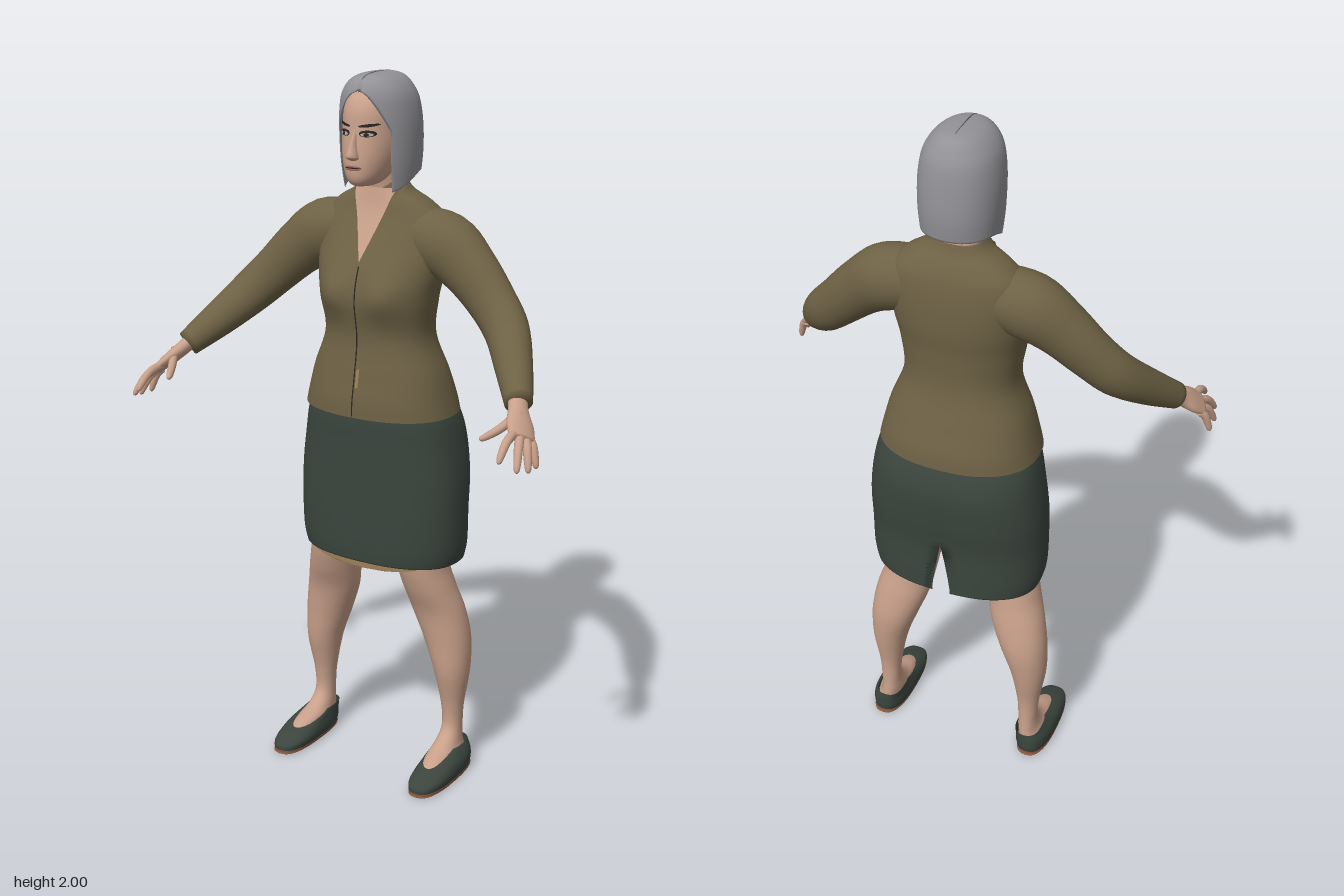
import * as THREE from 'three';
import { mergeVertices } from 'three/addons/utils/BufferGeometryUtils.js';

const mat = (name, color, side = THREE.DoubleSide) => {
  const m = new THREE.MeshStandardMaterial({ color, side });
  m.name = name;
  return m;
};
const clamp = THREE.MathUtils.clamp;

// Smooth surface from a rule fn(u, v) -> [x, y, z]
function grid(nu, nv, fn) {
  const pos = [], idx = [];
  for (let j = 0; j <= nv; j++) for (let i = 0; i <= nu; i++) pos.push(...fn(i / nu, j / nv, j));
  for (let j = 0; j < nv; j++) for (let i = 0; i < nu; i++) {
    const a = j * (nu + 1) + i, b = a + 1, c = a + nu + 1, d = c + 1;
    idx.push(a, b, d, a, d, c);
  }
  let g = new THREE.BufferGeometry();
  g.setAttribute('position', new THREE.Float32BufferAttribute(pos, 3));
  g.setIndex(idx);
  g = mergeVertices(g, 1e-5);
  g.computeVertexNormals();
  return g;
}

// Catmull-Rom through rows of numbers
function smoothRows(rows, steps = 7) {
  const out = [], n = rows.length;
  for (let i = 0; i < n - 1; i++) for (let k = 0; k < steps + (i === n - 2 ? 1 : 0); k++) {
    const t = k / steps, r = [rows[Math.max(i - 1, 0)], rows[i], rows[i + 1], rows[Math.min(i + 2, n - 1)]];
    out.push(rows[i].map((_, c) => {
      const [a, b, d, e] = r.map(q => q[c]);
      return b + 0.5 * t * (d - a + t * (2 * a - 5 * b + 4 * d - e + t * (3 * (b - d) + e - a)));
    }));
  }
  return out;
}

// Upright body from rows [y, x0, x1, zBack, zFront] with rounded cross-sections
const sym = (y, w, z0, z1) => [y, -w, w, z0, z1];
function body(rows, n = 2.2, bump = () => 0) {
  const dense = smoothRows(rows).map(([y, x0, x1, z0, z1]) =>
    [y, (x0 + x1) / 2, Math.max((x1 - x0) / 2, 1e-4), (z0 + z1) / 2, Math.max((z1 - z0) / 2, 1e-4)]);
  const pw = v => Math.sign(v) * Math.pow(Math.abs(v), 2 / n);
  const point = (a, [y, cx, rx, cz, rz], k = 1) => {
    const c = Math.cos(a), x = cx + k * rx * pw(Math.sin(a));
    return [x, y, cz + k * rz * pw(c) + bump(x, y) * Math.max(0, c)];
  };
  const front = (x, y) => {
    let i = 0;
    while (i < dense.length - 2 && dense[i + 1][0] < y) i++;
    const p = dense[i], q = dense[i + 1], t = clamp((y - p[0]) / (q[0] - p[0]), 0, 1);
    const [, cx, rx, cz, rz] = p.map((v, k) => v + (q[k] - v) * t);
    const c = Math.pow(1 - Math.pow(Math.min(1, Math.abs(x - cx) / rx), n), 1 / n);
    return cz + rz * c + bump(x, y) * Math.pow(c, n / 2);
  };
  const solid = (nu = 48) => grid(nu, dense.length - 1, (u, v, j) => point(u * Math.PI * 2, dense[j]));
  // Two-walled shell, open over an angle gap(y) around direction dir
  const shell = (gap, dir, thick, tweak = p => p, nu = 64) => {
    const m = dense.length;
    return grid(nu, 2 * m - 1, (u, v, j) => {
      const inner = j < m, row = dense[inner ? m - 1 - j : j - m], g = gap(row[0]);
      const t = inner ? thick * Math.min(1, 12 * u * (1 - u)) : 0;
      return tweak(point(dir + g + u * (2 * Math.PI - 2 * g), row, 1 - t));
    });
  };
  return { front, solid, shell };
}

// Thin patch lying on the front of a body
const patch = (b, y0, y1, xl, xr, lift, nx = 8, ny = 16) => grid(nx, ny, (u, v) => {
  const y = y0 + (y1 - y0) * v, x = xl(y) + (xr(y) - xl(y)) * u;
  return [x, y, b.front(x, y) + lift];
});
const spot = (b, cx, cy, rx, ry, lift, slope = 0) => grid(10, 8, (u, v) => {
  const q = v * 2 - 1, h = rx * Math.sqrt(Math.max(0, 1 - q * q));
  const x = cx + h * (u * 2 - 1), y = cy + ry * q + slope * (x - cx);
  return [x, y, b.front(x, y) + lift];
});

// Limb along rows [x, y, z, ra, rb]; ra lies towards the side vector
function limb(rows, s, side = [0, 0, 1], nu = 18) {
  const d = smoothRows(rows.map(([x, ...r]) => [x * s, ...r]), 5), m = d.length;
  const P = i => new THREE.Vector3(...d[clamp(i, 0, m - 1)]);
  const S = new THREE.Vector3(side[0] * s, side[1], side[2]);
  return grid(nu, m + 1, (u, v, j) => {
    const i = clamp(j - 1, 0, m - 1), k = j === 0 || j === m + 1 ? 0 : 1, a = u * Math.PI * 2;
    const T = P(i + 1).sub(P(i - 1)).normalize();
    const A = S.clone().addScaledVector(T, -S.dot(T)).normalize(), B = T.clone().cross(A);
    return P(i).addScaledVector(A, k * d[i][3] * Math.cos(a)).addScaledVector(B, k * d[i][4] * Math.sin(a)).toArray();
  });
}

export function createModel() {
  const model = new THREE.Group();
  const skin = mat('skin', 0xc8a08a), olive = mat('olive knit', 0x6e6245), green = mat('dark green', 0x3b453e);
  const grey = mat('grey hair', 0x929297), shade = mat('hair parting', 0x5c5c61), dark = mat('dark brown', 0x2b2522);
  const tan = mat('tan lining', 0x9c8058), brown = mat('sole brown', 0x85533a), lip = mat('lips', 0x9a6a5c), white = mat('eye white', 0xb8b0a8);
  const add = (name, geometry, material) => {
    const m = new THREE.Mesh(geometry, material);
    m.name = name;
    model.add(m);
  };

  // Skirt with a slit at the back
  const skirt = body([sym(0.652, 0.24, -0.262, 0.028), sym(0.7, 0.25, -0.262, 0.032), sym(0.8, 0.252, -0.263, 0.035),
    sym(0.9, 0.25, -0.275, 0.036), sym(1.0, 0.237, -0.28, 0.038), sym(1.07, 0.222, -0.266, 0.04), sym(1.12, 0.2, -0.24, 0.035)], 2.4);
  add('skirt', skirt.shell(y => 0.07 * clamp((0.82 - y) / 0.16, 0, 1), Math.PI, 0.03), green);
  const hem = y => 0.2 * Math.sqrt(clamp((y - 0.632) / 0.02, 0, 1));
  add('skirtLining', patch(skirt, 0.632, 0.67, y => -hem(y), hem, -0.006, 20, 12), tan);

  // Cardigan body with bust
  const bust = (x, y) => 0.022 * Math.exp(-(((Math.abs(x) - 0.085) / 0.055) ** 2) - ((y - 1.42) / 0.055) ** 2);
  const torso = body([sym(1.085, 0.223, -0.264, 0.058), sym(1.13, 0.212, -0.258, 0.056), sym(1.2, 0.193, -0.236, 0.044),
    sym(1.3, 0.157, -0.208, 0.03), sym(1.4, 0.167, -0.207, 0.042), sym(1.48, 0.182, -0.214, 0.028), sym(1.56, 0.19, -0.212, -0.008),
    sym(1.62, 0.178, -0.202, -0.035), sym(1.66, 0.138, -0.186, -0.047), sym(1.69, 0.085, -0.167, -0.052), sym(1.713, 0.064, -0.158, -0.056)], 2.3, bust);
  add('cardigan', torso.solid(64), olive);
  const vee = y => 0.064 * clamp((y - 1.5) / 0.19, 0, 1);
  add('neckline', patch(torso, 1.5, 1.7, y => -vee(y), vee, 0.004), skin);
  add('frontSeam', patch(torso, 1.09, 1.5, () => -0.002, () => 0.002, 0.003, 2, 30), dark);
  add('zipPull', patch(torso, 1.17, 1.22, () => 0.006, () => 0.014, 0.004, 2, 4), tan);
  for (const s of [1, -1]) {
    const a = y => vee(y) - 0.003, b = y => Math.min(vee(y) + 0.018, 0.075);
    add('collar', patch(torso, 1.5, 1.705, s > 0 ? a : y => -b(y), s > 0 ? b : y => -a(y), 0.008, 4), olive);
  }

  // Neck and head
  const neck = body([sym(1.62, 0.07, -0.17, -0.065), sym(1.68, 0.058, -0.158, -0.055), sym(1.73, 0.054, -0.15, -0.045), sym(1.79, 0.055, -0.15, -0.03)]);
  add('neck', neck.solid(32), skin);
  const head = body([sym(1.712, 0.004, -0.02, 0.01), sym(1.716, 0.03, -0.06, 0.036), sym(1.735, 0.049, -0.1, 0.05), sym(1.77, 0.065, -0.14, 0.053),
    sym(1.81, 0.075, -0.165, 0.05), sym(1.86, 0.079, -0.175, 0.043), sym(1.91, 0.077, -0.17, 0.036),
    sym(1.945, 0.062, -0.15, 0.015), sym(1.965, 0.035, -0.12, -0.03), sym(1.972, 0.002, -0.08, -0.075)], 2.1);
  add('head', head.solid(40), skin);
  const nose = body([sym(1.782, 0.004, 0.04, 0.052), sym(1.788, 0.016, 0.03, 0.066), sym(1.797, 0.016, 0.03, 0.075),
    sym(1.825, 0.009, 0.03, 0.063), sym(1.862, 0.006, 0.02, 0.045)], 2);
  add('nose', nose.solid(16), skin);
  add('lips', spot(head, 0, 1.764, 0.025, 0.007, 0.003), lip);
  add('mouthLine', spot(head, 0, 1.765, 0.024, 0.0015, 0.005), dark);
  for (const s of [1, -1]) {
    add('eyeLid', spot(head, 0.034 * s, 1.853, 0.02, 0.009, 0.002), dark);
    add('eye', spot(head, 0.034 * s, 1.851, 0.015, 0.005, 0.004), white);
    add('iris', spot(head, 0.034 * s, 1.851, 0.006, 0.005, 0.006), dark);
    add('eyebrow', spot(head, 0.036 * s, 1.874, 0.024, 0.004, 0.004, 0.12 * s), dark);
  }

  // Bobbed hair, open over the face and longer towards the front
  const hair = body([sym(1.742, 0.099, -0.2, 0.004), sym(1.8, 0.105, -0.205, 0.02), sym(1.87, 0.106, -0.201, 0.026), sym(1.93, 0.098, -0.192, 0.028),
    sym(1.965, 0.082, -0.177, 0.022), sym(1.988, 0.058, -0.16, 0.004), sym(1.998, 0.03, -0.13, -0.03), sym(2.0, 0.001, -0.085, -0.083)], 2.2);
  const opening = y => Math.asin(clamp(0.72 * Math.sqrt(clamp((1.957 - y) / 0.1, 0, 1)), 0, 0.95));
  add('hair', hair.shell(opening, 0, 0.12, ([x, y, z]) =>
    [x, y - 0.05 * clamp((1.85 - y) / 0.1, 0, 1) * THREE.MathUtils.smoothstep(z, -0.14, 0), z], 72), grey);
  const parting = new THREE.CatmullRomCurve3([[1.957, 0.024], [1.975, 0.015], [1.99, 0], [1.999, -0.035], [2, -0.085], [1.998, -0.13]]
    .map(([y, z]) => new THREE.Vector3(0, y - 0.001, z)));
  add('hairParting', new THREE.TubeGeometry(parting, 24, 0.002, 6), shade);

  for (const s of [1, -1]) {
    const flip = rows => rows.map(([y, a, b, c, d]) => (s > 0 ? [y, a, b, c, d] : [y, -b, -a, c, d]));

    // Sleeve and cuff
    add('sleeve', limb([[0.09, 1.57, -0.115, 0.075, 0.08], [0.19, 1.552, -0.112, 0.082, 0.09], [0.27, 1.498, -0.1, 0.068, 0.078], [0.345, 1.427, -0.083, 0.058, 0.068],
      [0.408, 1.363, -0.052, 0.056, 0.062], [0.468, 1.293, 0.02, 0.048, 0.051], [0.526, 1.226, 0.1, 0.036, 0.037]], s, [0, 0, 1], 24), olive);

    // Hand with four fingers and a thumb
    const across = [-0.035, 0.025, 0.055];
    add('palm', limb([[0.515, 1.24, 0.085, 0.027, 0.021], [0.535, 1.213, 0.118, 0.029, 0.02], [0.556, 1.188, 0.148, 0.04, 0.018],
      [0.578, 1.162, 0.178, 0.039, 0.013]], s, across), skin);
    const fingers = [[[0.56, 1.178, 0.196], [0.566, 1.125, 0.278]], [[0.575, 1.167, 0.186], [0.603, 1.1, 0.252]],
      [[0.586, 1.157, 0.17], [0.614, 1.09, 0.21]], [[0.588, 1.153, 0.15], [0.613, 1.088, 0.165]], [[0.54, 1.205, 0.145], [0.49, 1.163, 0.236]]];
    fingers.forEach(([a, b], i) => {
      const at = t => a.map((v, k) => v + (b[k] - v) * t + (k === 1 ? 0.012 * t * (1 - t) * 4 * (i < 4 ? 1 : -0.5) : 0));
      const rows = [[-0.15, 0.012], [0.4, 0.0115], [0.8, 0.0095], [0.95, 0.007], [1, 0.003]].map(([t, r]) => [...at(t), r, r]);
      add(i < 4 ? 'finger' : 'thumb', limb(rows, s, across, 10), skin);
    });

    // Leg with foot
    add('leg', body(flip([[0.025, 0.195, 0.275, -0.16, 0.0], [0.05, 0.187, 0.274, -0.175, 0.025], [0.07, 0.188, 0.262, -0.176, -0.005],
      [0.092, 0.191, 0.254, -0.174, -0.06], [0.13, 0.194, 0.25, -0.171, -0.1], [0.2, 0.189, 0.254, -0.172, -0.1], [0.31, 0.168, 0.27, -0.19, -0.076],
      [0.41, 0.133, 0.27, -0.2, -0.066], [0.5, 0.1, 0.256, -0.19, -0.052], [0.58, 0.085, 0.232, -0.175, -0.022], [0.66, 0.07, 0.214, -0.17, -0.002],
      [0.78, 0.03, 0.22, -0.2, 0.005]]), 2.1).solid(32), skin);

    // Flat shoe and sole
    add('shoe', body(flip([[0.012, 0.182, 0.286, -0.183, 0.094], [0.028, 0.179, 0.288, -0.186, 0.09], [0.043, 0.18, 0.286, -0.186, 0.058],
      [0.057, 0.183, 0.28, -0.186, 0.018], [0.08, 0.187, 0.263, -0.184, -0.065]]), 2.6).solid(36), green);
    add('sole', body(flip([[0, 0.225, 0.235, -0.05, -0.04], [0.001, 0.188, 0.28, -0.178, 0.086], [0.007, 0.183, 0.286, -0.183, 0.093],
      [0.014, 0.184, 0.285, -0.182, 0.092]]), 2.6).solid(36), brown);
  }
  return model;
}
